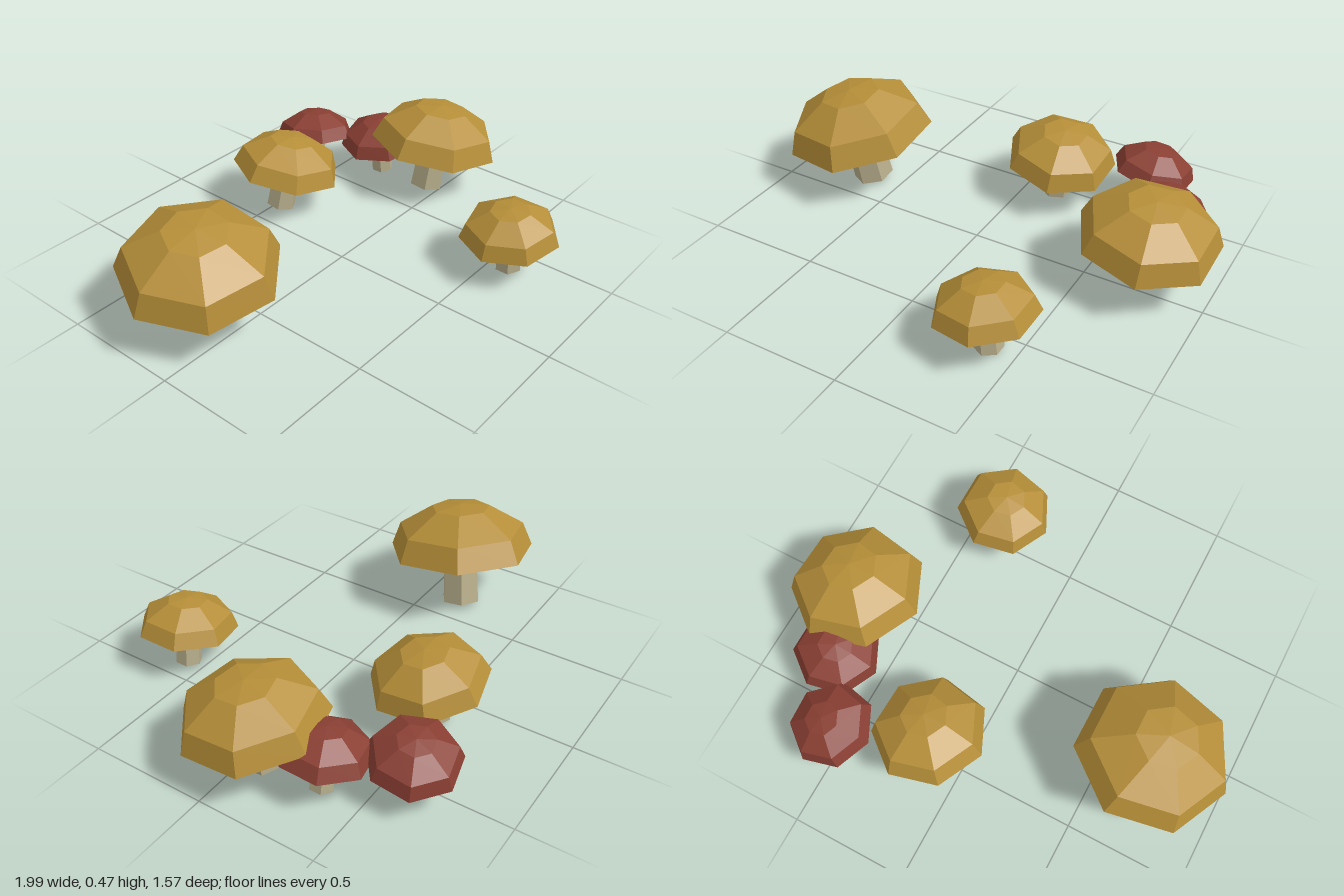
import * as THREE from 'three';

const flat = (name, color) => new THREE.MeshStandardMaterial({ name, color, flatShading: true });

// Cap profile for a unit radius: closed underside, steep rim band, shallow upper band, apex
const CAP_PROFILE = [[0, 0], [1, 0], [0.87, 0.32], [0.4, 0.605], [0, 0.655]]
  .map(([x, y]) => new THREE.Vector2(x, y));

export function createModel() {
  const ochre = flat('ochre cap', 0xb58e38);
  const red = flat('red cap', 0x8a3f33);
  const cream = flat('cream stem', 0xb8ae8c);

  const capGeometry = new THREE.LatheGeometry(CAP_PROFILE, 7);
  capGeometry.rotateY(-Math.PI / 2);

  // Rim centre (x, y, z), cap radius, and how far the rim rises per unit of x and z
  const mushrooms = [
    { name: 'largeMushroom', at: [-0.677, 0.255, -0.131], r: 0.325, lean: [0.13, -0.14], cap: ochre },
    { name: 'backMushroom', at: [0.162, 0.192, -0.455], r: 0.242, lean: [-0.15, -0.11], cap: ochre },
    { name: 'frontMushroom', at: [0.373, 0.17, 0.58], r: 0.208, lean: [0.1, 0.0], cap: ochre },
    { name: 'rightMushroom', at: [0.735, 0.22, -0.055], r: 0.29, lean: [-0.12, -0.08], cap: ochre },
    { name: 'redMushroom', at: [0.683, 0.155, -0.33], r: 0.185, lean: [0.12, 0.03], cap: red },
    { name: 'redBackMushroom', at: [0.537, 0.158, -0.612], r: 0.182, lean: [-0.17, 0.14], cap: red },
  ];

  const model = new THREE.Group();
  model.name = 'mushroomCluster';
  const up = new THREE.Vector3(0, 1, 0);

  for (const { name, at, r, lean, cap } of mushrooms) {
    const mushroom = new THREE.Group();
    mushroom.name = name;
    const axis = new THREE.Vector3(-lean[0], 1, -lean[1]).normalize();
    mushroom.quaternion.setFromUnitVectors(up, axis);
    mushroom.position.set(...at);

    // Seven-sided domed cap
    const capMesh = new THREE.Mesh(capGeometry, cap);
    capMesh.name = 'cap';
    capMesh.scale.setScalar(r);
    mushroom.add(capMesh);

    // Six-sided stem whose lowest edge touches the ground
    const foot = 0.275 * r;
    const length = (at[1] - foot * Math.hypot(...lean)) / axis.y;
    const stem = new THREE.Mesh(new THREE.CylinderGeometry(0.245 * r, foot, length + 0.02, 6), cream);
    stem.name = 'stem';
    stem.position.y = 0.01 - length / 2;
    mushroom.add(stem);

    model.add(mushroom);
  }
  return model;
}
